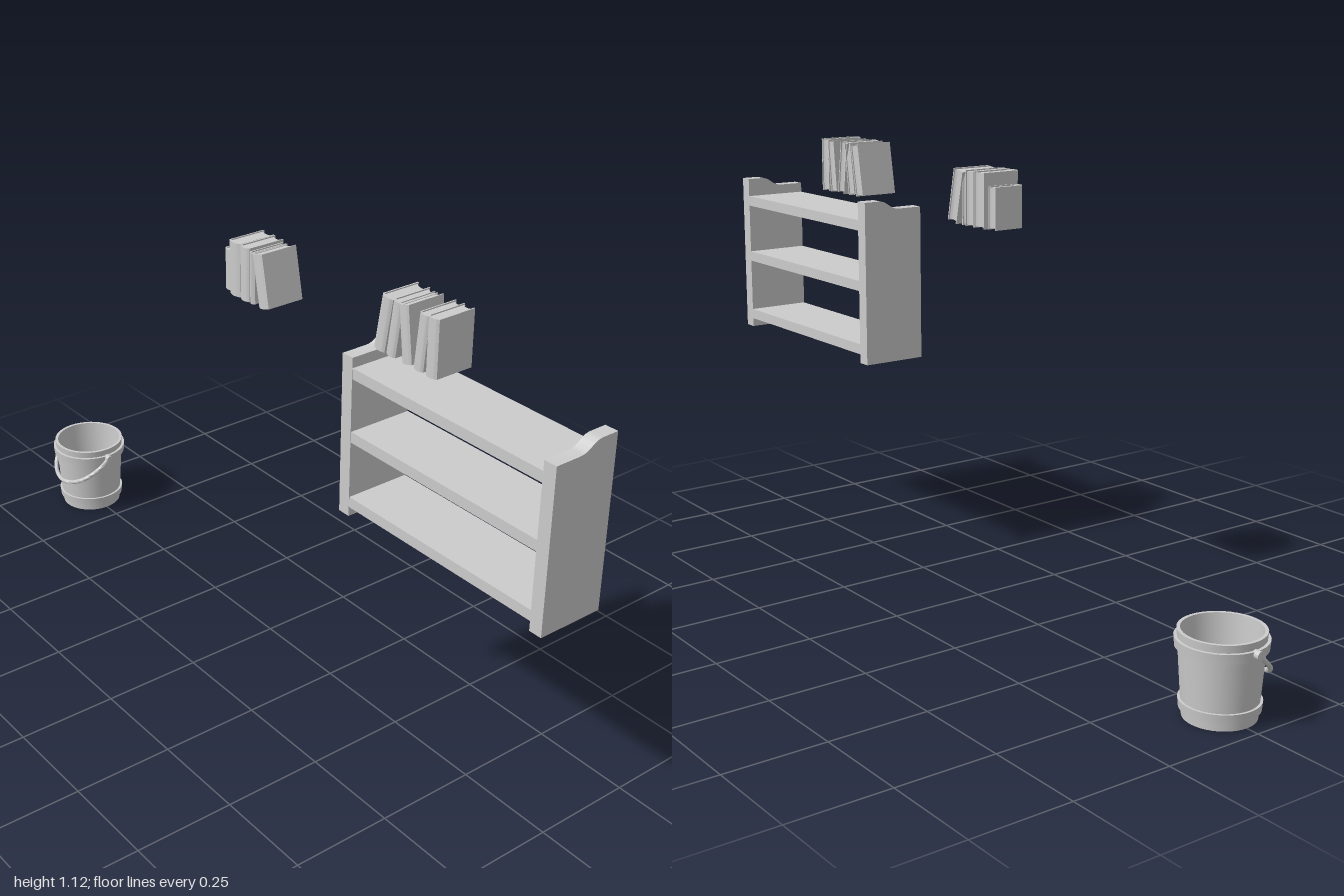
import * as THREE from 'three';
import { toCreasedNormals } from 'three/addons/utils/BufferGeometryUtils.js';

const material = new THREE.MeshStandardMaterial({ color: 0xcccccc });

function addMesh(parent, name, geometry, crease = 0.6) {
  const mesh = new THREE.Mesh(toCreasedNormals(geometry, crease), material);
  mesh.name = name;
  parent.add(mesh);
  return mesh;
}

const lathe = (points) =>
  new THREE.LatheGeometry(points.map(([r, y]) => new THREE.Vector2(r, y)), 40);

// Tapered pail with two hoops and a swinging bail handle
function createBucket() {
  const bucket = new THREE.Group();
  bucket.name = 'bucket';
  addMesh(bucket, 'bucketBody', lathe([
    [0, 0], [0.083, 0], [0.098, 0.2], [0.09, 0.2], [0.08, 0.012], [0, 0.012],
  ]));
  for (const [name, y0, y1, r0, r1] of [
    ['lowerHoop', 0.02, 0.041, 0.09, 0.092],
    ['upperHoop', 0.16, 0.182, 0.102, 0.104],
  ]) {
    addMesh(bucket, name, lathe([
      [r0 - 0.01, y0], [r0, y0], [r1, y1], [r1 - 0.01, y1], [r0 - 0.01, y0],
    ]));
  }

  // Handle hangs forward and down from the pivots
  const path = [];
  for (let i = 0; i <= 20; i++) {
    const a = (Math.PI * i) / 20;
    const drop = Math.sin(a);
    path.push(new THREE.Vector3(0.109 * Math.cos(a), 0.175 - 0.085 * drop, 0.097 * drop));
  }
  addMesh(bucket, 'handle',
    new THREE.TubeGeometry(new THREE.CatmullRomCurve3(path), 40, 0.006, 8), 1);
  for (const side of [-1, 1]) {
    const pivot = addMesh(bucket, 'handlePivot', new THREE.CylinderGeometry(0.01, 0.01, 0.018, 16));
    pivot.rotation.z = Math.PI / 2;
    pivot.position.set(side * 0.107, 0.175, 0);
  }
  bucket.position.x = -0.884;
  return bucket;
}

// Two shaped side panels joined by three boards
function createShelf() {
  const shelf = new THREE.Group();
  shelf.name = 'shelf';
  const profile = new THREE.Shape();
  profile.moveTo(-0.105, 0.553);
  profile.lineTo(0.066, 0.553);
  profile.lineTo(0.066, 0.957);
  profile.lineTo(0, 0.957);
  profile.bezierCurveTo(-0.03, 0.957, -0.035, 0.98, -0.062, 0.98);
  profile.lineTo(-0.105, 0.98);
  for (const right of [0.383, 1]) {
    const panel = new THREE.ExtrudeGeometry(profile,
      { depth: 0.034, bevelEnabled: false, curveSegments: 10 });
    panel.rotateY(-Math.PI / 2);
    panel.translate(right, 0, 0);
    addMesh(shelf, 'sidePanel', panel);
  }
  for (const y of [0.59, 0.759, 0.918]) {
    const board = addMesh(shelf, 'shelfBoard', new THREE.BoxGeometry(0.586, 0.027, 0.17));
    board.position.set(0.675, y, -0.02);
  }
  return shelf;
}

// Book with a rounded spine at the front and hollowed page edges at the back
function createBook(width, height, depth) {
  const book = new THREE.Group();
  book.name = 'book';
  const w = width / 2, d = depth / 2, t = 0.003, bulge = 0.006;
  const upright = (shape, h, y) => new THREE.ExtrudeGeometry(shape,
    { depth: h, bevelEnabled: false, curveSegments: 8 }).rotateX(-Math.PI / 2).translate(0, y, 0);

  const cover = new THREE.Shape();
  cover.moveTo(-w, d);
  cover.lineTo(-w, -d + bulge);
  cover.quadraticCurveTo(0, -d - bulge, w, -d + bulge);
  cover.lineTo(w, d);
  cover.lineTo(w - t, d);
  cover.lineTo(w - t, -d + bulge + t);
  cover.quadraticCurveTo(0, -d - bulge + t, -w + t, -d + bulge + t);
  cover.lineTo(-w + t, d);
  addMesh(book, 'bookCover', upright(cover, height, 0));

  const pages = new THREE.Shape();
  pages.moveTo(-w + t, -d + bulge + t);
  pages.quadraticCurveTo(0, -d - bulge + t, w - t, -d + bulge + t);
  pages.lineTo(w - t, d - 0.003);
  pages.quadraticCurveTo(0, d - 0.013, -w + t, d - 0.003);
  addMesh(book, 'bookPages', upright(pages, height - 0.006, 0.003));
  return book;
}

// Row of books: each is [x at foot, width, height, depth, lean]
function createBookRow(name, y, z, books) {
  const row = new THREE.Group();
  row.name = name;
  for (const [x, width, height, depth, lean] of books) {
    const book = createBook(width, height, depth);
    book.position.set(x, y + Math.abs(Math.sin(lean)) * width / 2, z);
    book.rotation.z = lean;
    row.add(book);
  }
  return row;
}

export function createModel() {
  const model = new THREE.Group();
  model.name = 'shelfBooksAndBucket';
  model.add(createBucket(), createShelf());
  model.add(createBookRow('middleBooks', 0.957, 0.016, [
    [-0.091, 0.031, 0.103, 0.085, 0],
    [-0.054, 0.042, 0.135, 0.106, 0],
    [-0.015, 0.034, 0.135, 0.106, 0],
    [0.011, 0.018, 0.128, 0.1, 0],
    [0.058, 0.037, 0.131, 0.106, 0.2],
  ]));
  model.add(createBookRow('shelfBooks', 0.983, -0.017, [
    [0.43, 0.034, 0.134, 0.106, -0.17],
    [0.468, 0.029, 0.135, 0.106, -0.14],
    [0.521, 0.03, 0.135, 0.106, 0.13],
    [0.557, 0.03, 0.135, 0.106, -0.1],
    [0.598, 0.034, 0.138, 0.106, 0],
  ]));
  return model;
}
